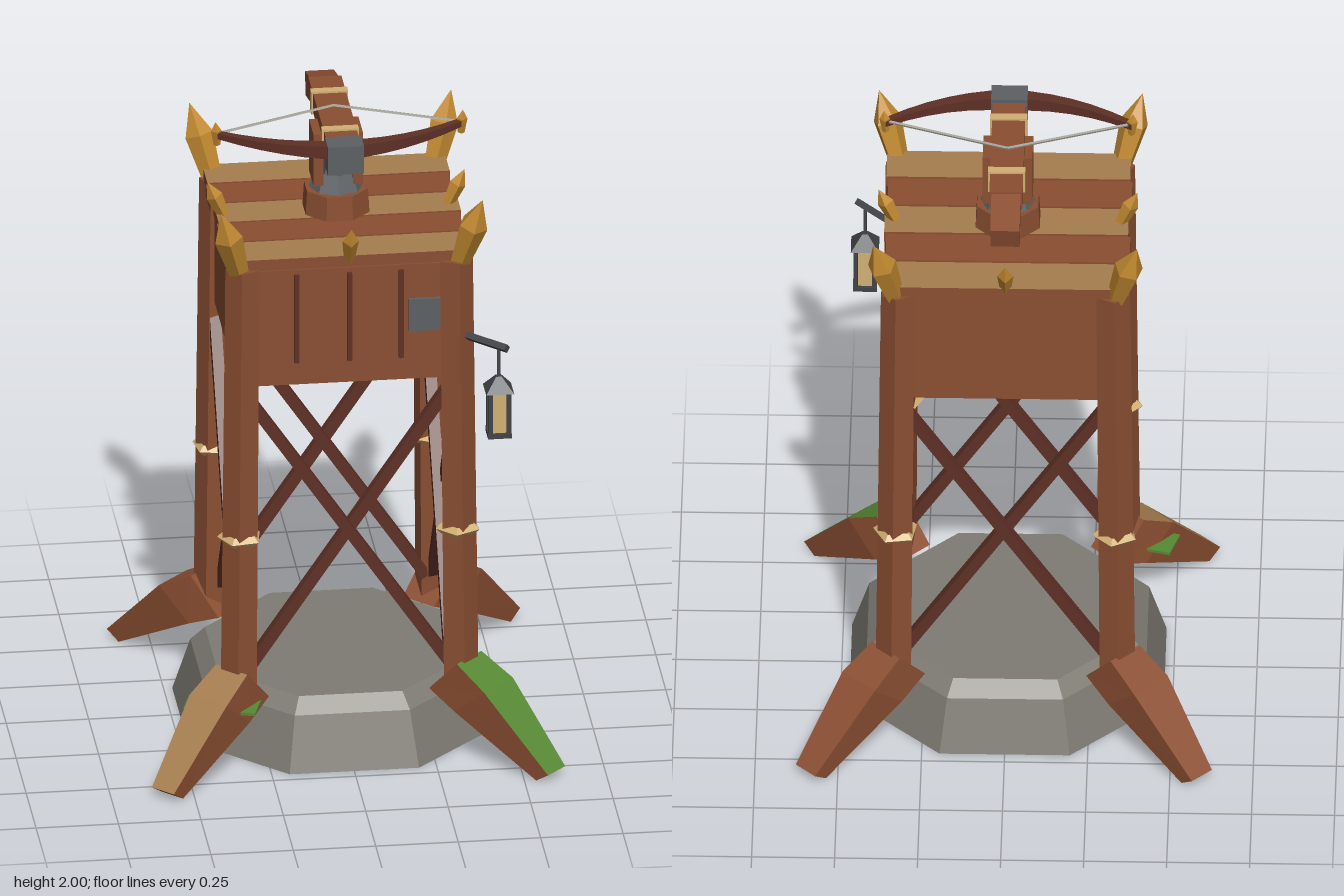
import * as THREE from 'three';

const mat = (name, color, side = THREE.FrontSide) =>
  Object.assign(new THREE.MeshStandardMaterial({ color, flatShading: true, side }), { name });

export function createModel() {
  const M = {
    wood: mat('wood', 0x8b4f32),
    dark: mat('dark wood', 0x5e3026),
    tan: mat('pale wood', 0xa67e4f),
    stone: mat('stone', 0x7f7c74, THREE.DoubleSide),
    metal: mat('metal', 0x5d6163),
    iron: mat('dark iron', 0x414347),
    gold: mat('gold', 0xc28a30),
    rope: mat('rope', 0xd2b074),
    moss: mat('moss', 0x578a34),
    string: mat('bowstring', 0xa3a197),
  };
  const root = new THREE.Group();
  root.name = 'crossbowTower';
  const V = (x, y, z) => new THREE.Vector3(x, y, z);
  const UP = V(0, 1, 0);

  const add = (name, geo, material, x = 0, y = 0, z = 0) => {
    const m = new THREE.Mesh(geo, material);
    m.name = name;
    m.position.set(x, y, z);
    root.add(m);
    return m;
  };
  const box = (name, material, w, h, d, x, y, z) =>
    add(name, new THREE.BoxGeometry(w, h, d), material, x, y, z);
  // Straight tapered rod from a to b
  const rod = (name, material, a, b, r0, r1 = r0, sides = 4, turn = Math.PI / 4) => {
    const geo = new THREE.CylinderGeometry(r1, r0, a.distanceTo(b), sides).rotateY(turn);
    const m = add(name, geo, material);
    m.position.copy(a).lerp(b, 0.5);
    m.quaternion.setFromUnitVectors(UP, b.clone().sub(a).normalize());
    return m;
  };
  // Faceted spike from a to b
  const spike = (name, a, b, r, sides = 5) => {
    const L = a.distanceTo(b);
    const pts = [[0, 0], [r * 0.65, 0], [r, L * 0.62], [0, L]].map(p => new THREE.Vector2(...p));
    const m = add(name, new THREE.LatheGeometry(pts, sides), M.gold);
    m.position.copy(a);
    m.quaternion.setFromUnitVectors(UP, b.clone().sub(a).normalize());
    return m;
  };

  // Hollow octagonal stone base
  const basePts = [[0.5, 0], [0.445, 0.17], [0.4, 0.215], [0, 0.215]].map(p => new THREE.Vector2(...p));
  add('stoneBase', new THREE.LatheGeometry(basePts, 8, Math.PI / 8), M.stone).scale.x = 1.025;

  // Splayed foot: a box reshaped by its top and bottom profile (distance, height)
  const footTop = [[0.36, 0.31], [0.44, 0.25], [0.597, 0.03]];
  const footLow = [[0.285, 0.2], [0.36, 0.155], [0.565, 0]];
  const footHalf = [0.06, 0.07, 0.042];
  const footGeometry = () => {
    const geo = new THREE.BoxGeometry(2, 2, 2, 1, 1, 2);
    const p = geo.attributes.position;
    for (let i = 0; i < p.count; i++) {
      const k = Math.round(p.getZ(i)) + 1;
      const [d, y] = (p.getY(i) > 0 ? footTop : footLow)[k];
      p.setXYZ(i, p.getX(i) * footHalf[k], y, d * Math.SQRT2);
    }
    geo.computeVertexNormals();
    return geo;
  };

  // Four corners: leg, binding, foot and crown spike
  for (const sx of [-1, 1]) for (const sz of [-1, 1]) {
    const angle = Math.atan2(sx, sz);
    const at = (d, y) => V(sx * d, y, sz * d);
    rod('leg', M.wood, at(0.335, 0.19), at(0.322, 1.625), 0.057, 0.054, 5, angle + Math.PI / 5);
    const ring = add('legBinding', new THREE.TorusGeometry(0.053, 0.017, 4, 5).rotateX(Math.PI / 2),
      M.rope, sx * 0.33, 0.735, sz * 0.33);
    ring.rotation.y = angle;
    const top = sz < 0 ? M.wood : sx > 0 ? M.moss : M.tan;
    add('foot', footGeometry(), [M.wood, M.wood, top, M.wood, M.wood, M.wood]).rotation.y = angle;
    spike('cornerSpike', at(0.33, 1.6), at(0.397, 1.845), 0.045);
  }
  const patch = box('mossPatch', M.moss, 0.22, 0.009, 0.1, -0.39, 0.2, 0.375);
  patch.rotation.y = -0.3;

  // Per side: cross braces, cabin wall and small spike
  for (let i = 0; i < 4; i++) {
    const a = i * Math.PI / 2;
    const at = (x, y, z) => V(x, y, z).applyAxisAngle(UP, a);
    for (const s of [-1, 1])
      rod('brace', M.dark, at(-s * 0.31, 1.2, 0.32 + s * 0.012), at(s * 0.31, 0.28, 0.32 + s * 0.012), 0.024);
    const c = at(0, 1.425, 0.32);
    box('cabinWall', M.wood, 0.6, 0.38, 0.03, c.x, c.y, c.z).rotation.y = a;
    spike('sideSpike', at(0, 1.64, 0.335), at(0, 1.765, 0.39), 0.025, 4);
  }
  box('cabinFloor', M.wood, 0.61, 0.025, 0.61, 0, 1.265, 0);

  // Front wall details
  for (const x of [-0.16, 0, 0.157]) box('wallSlat', M.dark, 0.015, 0.29, 0.015, x, 1.455, 0.34);
  box('wallPlate', M.metal, 0.095, 0.105, 0.015, 0.227, 1.45, 0.34);

  // Deck planks on two beams
  for (const s of [-1, 1]) box('deckBeam', M.wood, 0.05, 0.03, 0.66, s * 0.325, 1.612, 0);
  for (let i = 0; i < 5; i++) {
    const top = i % 2 ? M.wood : M.tan;
    box('deckPlank', [M.wood, M.wood, top, M.wood, M.wood, M.wood],
      0.735, 0.036, 0.132, i % 2 ? -0.003 : 0.004, 1.64, -0.286 + i * 0.141);
  }

  // Turntable and yoke
  add('turntable', new THREE.CylinderGeometry(0.1, 0.105, 0.08, 8).rotateY(Math.PI / 8), M.wood, 0, 1.695, 0);
  add('pivotRing', new THREE.CylinderGeometry(0.062, 0.083, 0.055, 8), M.metal, 0, 1.762, 0);
  add('pivotCap', new THREE.CylinderGeometry(0.045, 0.06, 0.03, 8), M.iron, 0, 1.8, 0);
  for (const s of [-1, 1]) box('yokeArm', M.wood, 0.03, 0.17, 0.115, s * 0.06, 1.845, 0);
  box('yokeBridge', M.dark, 0.1, 0.05, 0.1, 0, 1.855, 0);

  // Crossbow stock, bent tail, bands and nose
  box('stock', M.wood, 0.1, 0.062, 0.46, 0, 1.934, -0.05);
  box('stockTail', M.wood, 0.088, 0.075, 0.15, 0, 1.905, -0.335).rotation.x = -0.27;
  for (const z of [0.1, -0.172]) box('stockBand', M.rope, 0.112, 0.074, 0.028, 0, 1.934, z);
  box('stockNose', M.metal, 0.11, 0.092, 0.075, 0, 1.93, 0.213);

  // Curved, tapering bow
  const bowGeo = new THREE.BoxGeometry(0.74, 1, 1, 12, 1, 1);
  const bp = bowGeo.attributes.position;
  for (let i = 0; i < bp.count; i++) {
    const x = bp.getX(i), t = Math.abs(x) / 0.37;
    bp.setXYZ(i, x, 1.948 + 0.01 * t + bp.getY(i) * (0.046 - 0.028 * t),
      0.212 - 0.132 * t * t + bp.getZ(i) * (0.046 - 0.02 * t));
  }
  bowGeo.computeVertexNormals();
  add('bow', bowGeo, M.dark);
  for (const s of [-1, 1]) {
    spike('bowTip', V(s * 0.37, 1.925, 0.08), V(s * 0.375, 2, 0.08), 0.016, 4);
    rod('bowstring', M.string, V(s * 0.37, 1.962, 0.08), V(0, 1.97, -0.062), 0.005);
  }

  // Hanging lantern
  const L = 0.44;
  rod('lanternBracket', M.iron, V(0.33, 1.378, 0.33), V(0.463, 1.378, 0.463), 0.014);
  rod('lanternHook', M.iron, V(L, 1.26, L), V(L, 1.375, L), 0.007);
  add('lanternRoof', new THREE.CylinderGeometry(0.012, 0.06, 0.045, 4).rotateY(Math.PI / 4), M.iron, L, 1.257, L);
  box('lanternGlass', M.rope, 0.052, 0.14, 0.052, L, 1.165, L);
  box('lanternBase', M.iron, 0.072, 0.015, 0.072, L, 1.093, L);
  for (const sx of [-1, 1]) for (const sz of [-1, 1])
    box('lanternPost', M.iron, 0.013, 0.14, 0.013, L + sx * 0.028, 1.165, L + sz * 0.028);

  return root;
}
